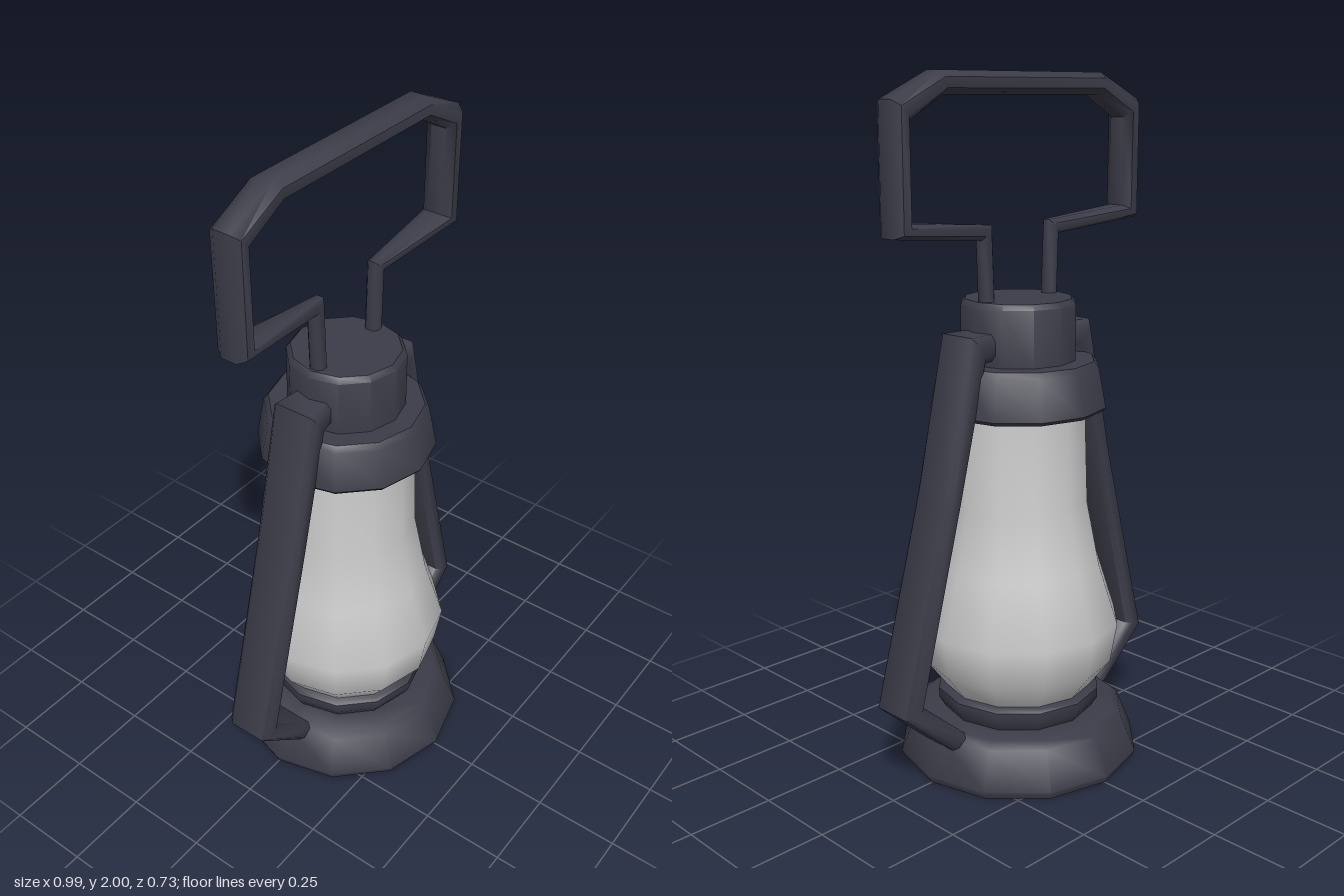
import * as THREE from 'three';
import { toCreasedNormals } from 'three/addons/utils/BufferGeometryUtils.js';

const metal = new THREE.MeshStandardMaterial({ color: 0x3b3c48 });
const glass = new THREE.MeshStandardMaterial({ color: 0xcccccc });

// Twelve-sided turned part from [radius, height] pairs, bottom to top
function turned(name, profile, material, crease) {
  const points = profile.map(([r, y]) => new THREE.Vector2(r, y));
  const geometry = toCreasedNormals(new THREE.LatheGeometry(points, 12), crease);
  const mesh = new THREE.Mesh(geometry, material);
  mesh.name = name;
  return mesh;
}

// Bent bar lying in the xy plane. Each section is [outerX, outerY, innerX, innerY, halfDepth];
// its outline is a rectangle with chamfered corners (cu, cz = flat share of each half side).
function bar(name, sections, cu, cz) {
  const outline = [[1, -cz], [1, cz], [cu, 1], [-cu, 1], [-1, cz], [-1, -cz], [-cu, -1], [cu, -1]];
  const n = outline.length;
  const pos = [];
  const index = [];
  for (const [ox, oy, ix, iy, d] of sections) {
    for (const [u, w] of outline) {
      pos.push((ox + ix) / 2 + (u * (ox - ix)) / 2, (oy + iy) / 2 + (u * (oy - iy)) / 2, w * d);
    }
  }
  for (let s = 0; s < sections.length - 1; s++) {
    for (let k = 0; k < n; k++) {
      const a = s * n + k;
      const b = s * n + ((k + 1) % n);
      index.push(a, b, a + n, b, b + n, a + n);
    }
  }
  // End caps
  const last = (sections.length - 1) * n;
  for (let k = 1; k < n - 1; k++) {
    index.push(0, k + 1, k, last, last + k, last + k + 1);
  }
  const geometry = new THREE.BufferGeometry();
  geometry.setAttribute('position', new THREE.Float32BufferAttribute(pos, 3));
  geometry.setIndex(index);
  const mesh = new THREE.Mesh(toCreasedNormals(geometry, 0.9), metal);
  mesh.name = name;
  return mesh;
}

export function createModel() {
  const lantern = new THREE.Group();
  lantern.name = 'lantern';

  // Foot with a raised burner tray
  lantern.add(turned('base', [
    [0, 0], [0.355, 0], [0.363, 0.02], [0.318, 0.13], [0.295, 0.15], [0.22, 0.15],
  ], metal, 0.8));
  lantern.add(turned('burnerTray', [
    [0.22, 0.14], [0.246, 0.18], [0.246, 0.21], [0.235, 0.22], [0, 0.22],
  ], metal, 0.8));

  // Pear-shaped chimney
  lantern.add(turned('glassChimney', [
    [0.215, 0.21], [0.283, 0.3], [0.303, 0.42], [0.245, 0.6], [0.207, 0.79], [0.197, 1.08],
  ], glass, 1.2));

  // Collar and top cap
  lantern.add(turned('collar', [
    [0, 1.065], [0.25, 1.065], [0.258, 1.075], [0.236, 1.19], [0.222, 1.207], [0, 1.207],
  ], metal, 0.8));
  lantern.add(turned('topCap', [
    [0.168, 1.2], [0.168, 1.368], [0.155, 1.383], [0, 1.383],
  ], metal, 0.8));

  // Flat side struts, one turned half way round for the other side
  const strut = [
    [0.14, 1.3, 0.14, 1.225, 0.06],
    [0.236, 1.3, 0.185, 1.225, 0.073],
    [0.332, 0.87, 0.28, 0.86, 0.073],
    [0.497, 0.265, 0.432, 0.283, 0.073],
    [0.325, 0.112, 0.275, 0.148, 0.073],
  ];
  const left = bar('leftStrut', strut, 0.55, 0.8);
  const right = bar('rightStrut', strut, 0.55, 0.8);
  right.rotation.y = Math.PI;
  lantern.add(left, right);

  // Carrying handle, mirrored about the middle of its top bar
  const half = [
    [-0.145, 1.36, -0.103, 1.36, 0.022],
    [-0.152, 1.553, -0.113, 1.593, 0.022],
    [-0.472, 1.58, -0.413, 1.617, 0.048],
    [-0.472, 1.927, -0.415, 1.873, 0.048],
    [-0.31, 2, -0.298, 1.938, 0.048],
  ];
  const mirrored = half.map(([ox, oy, ix, iy, d]) => [-ox, oy, -ix, iy, d]).reverse();
  lantern.add(bar('handle', [...half, ...mirrored], 0.45, 0.5));

  return lantern;
}
